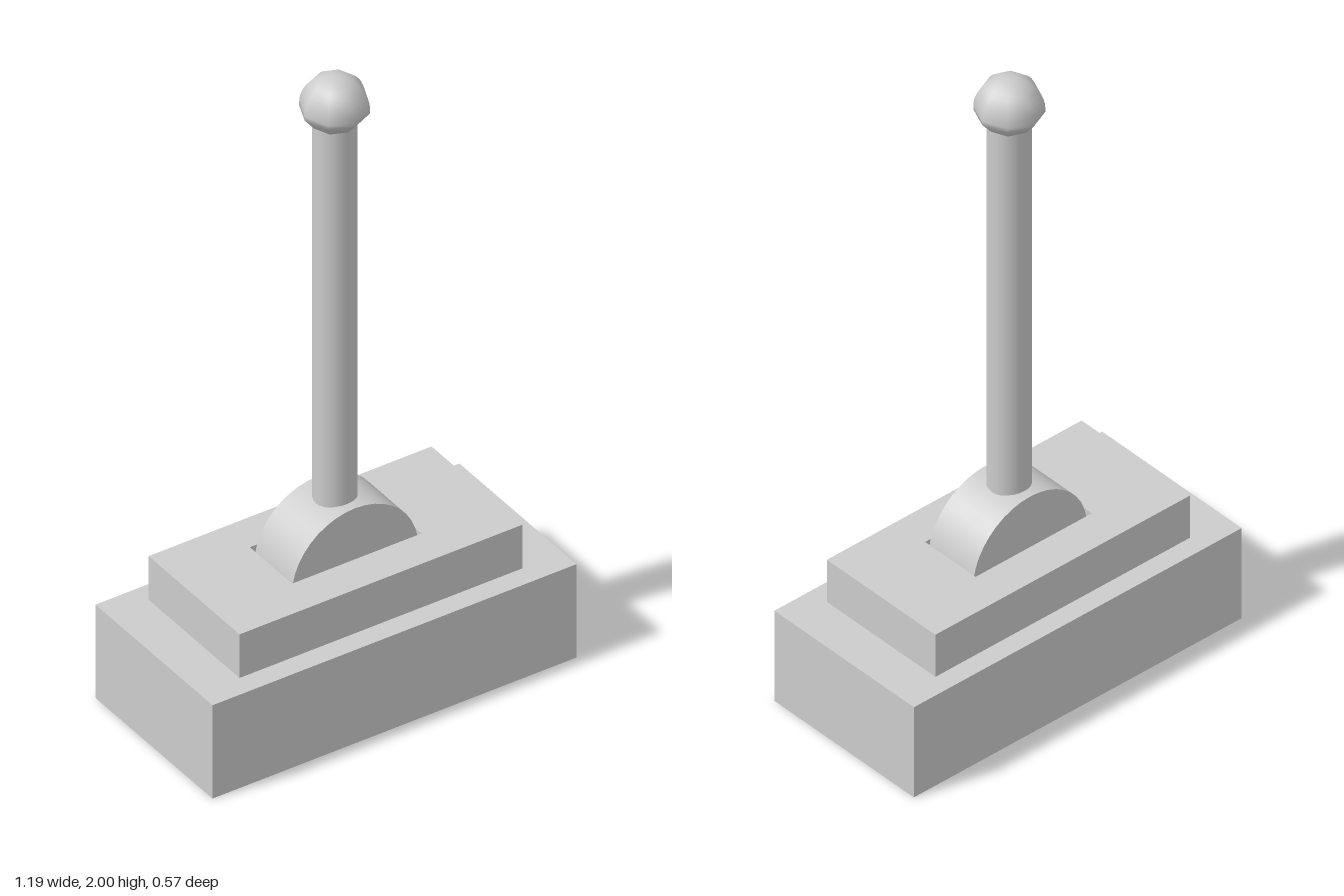
import * as THREE from 'three';

const material = new THREE.MeshStandardMaterial({ color: 0xcccccc });

export function createModel() {
  const lever = new THREE.Group();
  lever.name = 'lever';

  const add = (name, geometry, x, y, z) => {
    const mesh = new THREE.Mesh(geometry, material);
    mesh.name = name;
    mesh.position.set(x, y, z);
    lever.add(mesh);
    return mesh;
  };

  const rectangle = (Type, w, d) => {
    const path = new Type();
    path.moveTo(-w / 2, -d / 2);
    path.lineTo(w / 2, -d / 2);
    path.lineTo(w / 2, d / 2);
    path.lineTo(-w / 2, d / 2);
    path.closePath();
    return path;
  };

  // Base block
  add('base', new THREE.BoxGeometry(1.19, 0.31, 0.57), -0.002, 0.155, 0);

  // Cover plate with a slot around the pivot
  const plate = rectangle(THREE.Shape, 0.925, 0.443);
  plate.holes.push(rectangle(THREE.Path, 0.422, 0.206));
  const plateGeometry = new THREE.ExtrudeGeometry(plate, { depth: 0.145, bevelEnabled: false });
  plateGeometry.rotateX(-Math.PI / 2);
  add('coverPlate', plateGeometry, -0.002, 0.31, -0.002);

  // Pivot drum, partly sunk into the slot
  const drum = new THREE.CylinderGeometry(0.207, 0.207, 0.182, 40);
  drum.rotateX(Math.PI / 2);
  add('pivotDrum', drum, 0, 0.408, -0.001);

  // Shaft
  add('shaft', new THREE.CylinderGeometry(0.062, 0.062, 1.3, 24), -0.005, 1.23, -0.001);

  // Eight-sided knob: rounded top, tapered underside
  const profile = [new THREE.Vector2(0, 0), new THREE.Vector2(0.068, 0), new THREE.Vector2(0.098, 0.037)];
  for (let i = 0; i <= 10; i++) {
    const a = (i / 10) * Math.PI / 2;
    profile.push(new THREE.Vector2(i === 10 ? 0 : 0.098 * Math.cos(a), 0.05 + 0.098 * Math.sin(a)));
  }
  add('knob', new THREE.LatheGeometry(profile, 8), -0.005, 1.852, -0.002);

  return lever;
}
